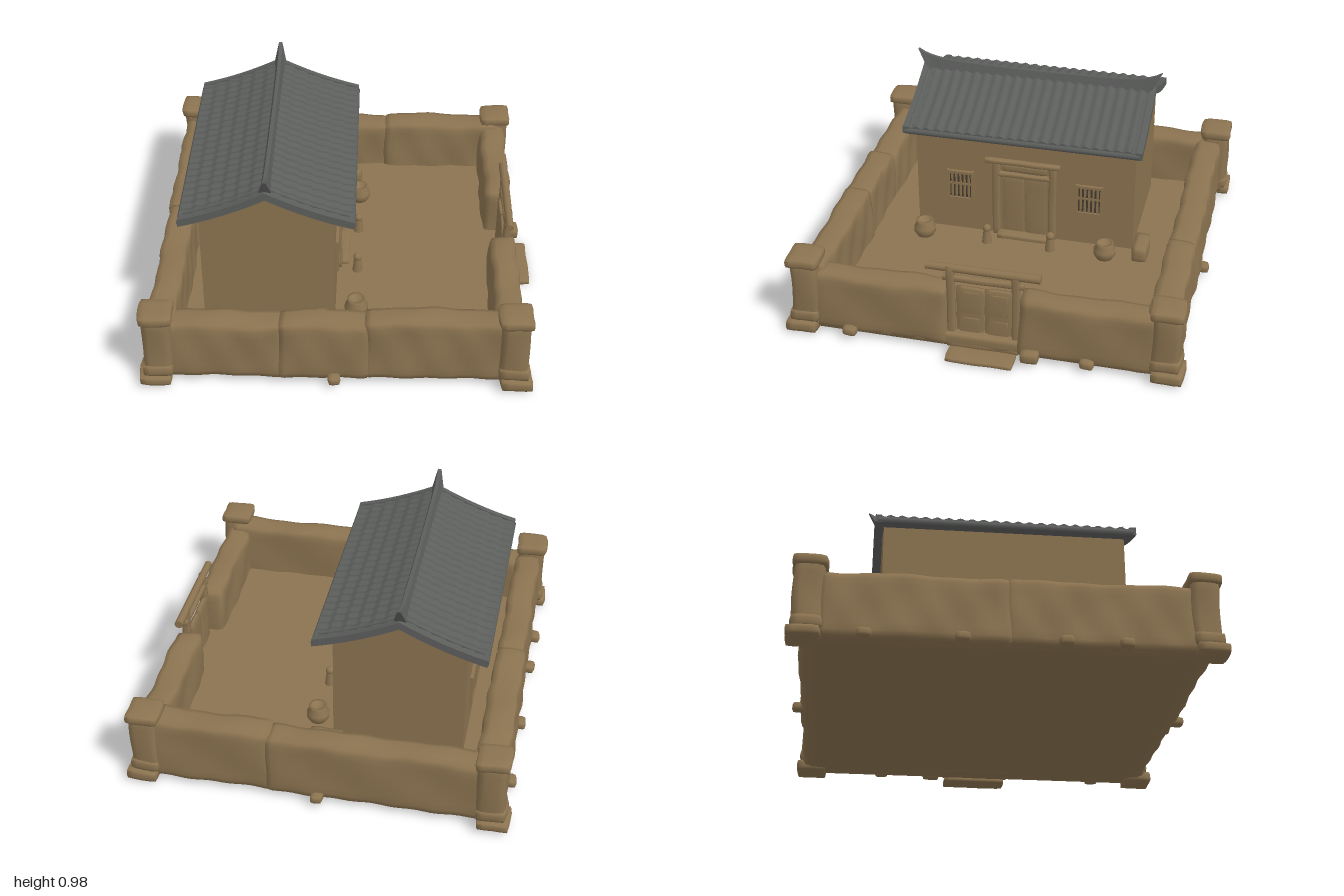
import * as THREE from 'three';
import { mergeVertices } from 'three/addons/utils/BufferGeometryUtils.js';

const mat = (name, color) => {
  const m = new THREE.MeshStandardMaterial({ color });
  m.name = name;
  return m;
};

export function createModel() {
  const model = new THREE.Group();
  const earth = mat('packed earth', 0x8b7350);
  const tile = mat('grey roof tile', 0x5c5e5c);
  const dark = mat('window shadow', 0x453c30);

  const add = (name, geo, material, parent = model) => {
    const mesh = new THREE.Mesh(geo, material);
    mesh.name = name;
    parent.add(mesh);
    return mesh;
  };
  const smooth = (geo) => {
    geo.deleteAttribute('uv');
    geo.deleteAttribute('normal');
    const g = mergeVertices(geo, 1e-5);
    g.computeVertexNormals();
    return g;
  };
  const warp = (geo, fn) => {
    const p = geo.attributes.position, v = new THREE.Vector3();
    for (let i = 0; i < p.count; i++) {
      fn(v.fromBufferAttribute(p, i));
      p.setXYZ(i, v.x, v.y, v.z);
    }
    return geo;
  };
  // Gentle hand-modelled unevenness, depending only on position
  const wobble = (v, a) => {
    const { x, y, z } = v;
    v.x += a * Math.sin(9 * z + 17 * y + 2) * Math.cos(23 * z + 5);
    v.y += a * 0.7 * Math.sin(13 * x + 11 * z) * Math.sin(y * 5);
    v.z += a * Math.sin(10 * x + 15 * y + 1) * Math.cos(21 * x + 3);
  };

  // Softly rounded clay block given by its limits
  const block = (name, x0, x1, y0, y1, z0, z1, { r = 0.015, a = 0.005, taper = 0, material = earth, parent = model } = {}) => {
    const s = [x1 - x0, y1 - y0, z1 - z0];
    r = Math.min(r, Math.min(...s) * 0.45);
    const n = s.map((l) => Math.max(3, Math.min(36, Math.round(l / 0.035))));
    const geo = new THREE.BoxGeometry(...s, ...n);
    const lim = s.map((l) => l / 2 - r);
    const q = new THREE.Vector3();
    warp(geo, (v) => {
      q.set(...['x', 'y', 'z'].map((k, i) => THREE.MathUtils.clamp(v[k], -lim[i], lim[i])));
      v.sub(q).normalize().multiplyScalar(r).add(q);
      const t = taper * (0.5 - v.y / s[1]);
      v.x += Math.sign(v.x) * t;
      v.z += Math.sign(v.z) * t;
      v.add(q.set((x0 + x1) / 2, (y0 + y1) / 2, (z0 + z1) / 2));
      wobble(v, a);
    });
    return add(name, smooth(geo), material, parent);
  };

  // Courtyard floor
  block('courtyardFloor', -0.9, 0.87, 0.025, 0.1, -0.91, 0.91, { a: 0, r: 0.01 });

  // Compound walls, each in uneven lengths
  const walls = new THREE.Group();
  walls.name = 'compoundWalls';
  model.add(walls);
  const wall = (x0, x1, h, z0, z1) =>
    block('wall', x0, x1, 0.03, h, z0, z1, { r: 0.025, a: 0.007, taper: 0.008, parent: walls });
  wall(-0.86, -0.28, 0.35, 0.79, 0.93);
  wall(-0.3, 0.13, 0.362, 0.795, 0.935);
  wall(0.11, 0.84, 0.378, 0.79, 0.925);
  wall(-0.86, 0.22, 0.36, -0.94, -0.8);
  wall(0.2, 0.84, 0.37, -0.935, -0.79);
  wall(-0.93, -0.78, 0.36, -0.86, 0.0);
  wall(-0.925, -0.79, 0.365, -0.02, 0.86);
  wall(0.74, 0.87, 0.345, 0.18, 0.86);
  wall(0.74, 0.875, 0.345, -0.86, -0.18);

  // Corner pillars with a cap and a footing
  const pillars = [
    [-0.87, -0.91, 0.43], [-0.875, 0.9, 0.43], [0.825, -0.885, 0.41], [0.825, 0.89, 0.43],
  ];
  for (const [x, z, h] of pillars) {
    const g = new THREE.Group();
    g.name = 'cornerPillar';
    model.add(g);
    const sx = Math.sign(x), sz = Math.sign(z);
    const box = (name, w, y0, y1, o, r) => block(name, x - w + sx * o, x + w + sx * o, y0, y1, z - w + sz * o, z + w + sz * o, { r, parent: g });
    box('shaft', 0.07, 0.03, h - 0.02, 0, 0.03);
    box('cap', 0.082, h - 0.055, h, 0, 0.02);
    box('footing', 0.078, x > 0 ? 0.01 : 0.02, 0.07, 0.018, 0.015);
    box('plinth', 0.074, 0.06, 0.13, 0.004, 0.02);
  }

  // Small footing stones along the outer walls
  const stones = [
    [-0.94, -0.66], [-0.945, -0.22], [-0.945, 0.245], [-0.945, 0.52],
    [0.885, -0.52], [0.885, 0.66], [-0.035, -0.95], [-0.035, 0.95],
  ];
  for (const [x, z] of stones) block('footingStone', x - 0.03, x + 0.03, 0.025, 0.07, z - 0.035, z + 0.035);

  // House body with gable ends under the roof
  const RX = -0.365;
  const roofY = (u) => 0.875 - 0.52 * u + 0.32 * u * u;
  const gable = new THREE.Shape();
  gable.moveTo(-0.325, 0.08);
  gable.lineTo(0.325, 0.08);
  for (let i = 0; i <= 8; i++) {
    const u = 0.325 - (0.65 * i) / 8;
    gable.lineTo(u, roofY(Math.abs(u)) - 0.015);
  }
  const house = add('houseWalls', new THREE.ExtrudeGeometry(gable, { depth: 1.16, bevelEnabled: false }), earth);
  house.position.set(RX, 0, -0.58);

  // Roof slab bent to the slope, with ribs and stepped tile courses
  const slope = (name, w, t, d, z, lift, ribs, nz) => {
    const geo = new THREE.BoxGeometry(w, t, d, 72, 1, nz);
    warp(geo, (v) => {
      const u = Math.abs(v.x), top = v.y > 0;
      const rib = ribs && top ? 0.005 * Math.cos((v.z * Math.PI * 2) / 0.055) : 0;
      const course = ribs && top ? 0.009 * ((u / 0.07) % 1) : 0;
      v.y += roofY(u) + lift + rib + course;
      v.x += RX;
      v.z += z;
    });
    geo.computeVertexNormals();
    return add(name, geo, tile);
  };
  slope('tiledRoof', 0.83, 0.028, 1.22, 0, 0, true, 132);
  for (const s of [-1, 1]) {
    slope('roofVerge', 0.84, 0.04, 0.03, s * 0.607, 0.006, false, 2);
    slope('innerVerge', 0.8, 0.028, 0.022, s * 0.56, 0.008, false, 2);
    // Rolled tile ends along the eaves
    const eave = add('eaveRoll', new THREE.CylinderGeometry(0.018, 0.018, 1.22, 10), tile);
    eave.rotation.x = Math.PI / 2;
    eave.position.set(RX + s * 0.408, roofY(0.41) - 0.003, 0);
  }

  // Ridge sweeping up to thin horns at both ends
  const ridge = new THREE.BoxGeometry(1, 1, 1.3, 1, 3, 40);
  warp(ridge, (v) => {
    const k = Math.abs(v.z) / 0.65, h = v.y + 0.5;
    const top = 0.92 + 0.017 * k * k + 0.043 * Math.pow(k, 10);
    v.z *= 1 - 0.07 * (1 - h) * k ** 4;
    v.x = RX + v.x * (0.06 - 0.042 * h);
    v.y = THREE.MathUtils.lerp(0.85 + 0.045 * Math.pow(k, 12), top, h);
  });
  ridge.computeVertexNormals();
  add('roofRidge', ridge, tile);

  // Lattice windows, two on each long side
  const window_ = (x, s, z) => {
    const g = new THREE.Group();
    g.name = 'window';
    model.add(g);
    const part = (name, w, h, d, y, dz, off, m) =>
      add(name, new THREE.BoxGeometry(w, h, d), m, g).position.set(x + s * off, y, z + dz);
    part('windowPane', 0.006, 0.15, 0.12, 0.37, 0, 0.002, dark);
    for (const e of [-1, 1]) {
      part('windowJamb', 0.02, 0.18, 0.014, 0.37, e * 0.065, 0.006, earth);
      part('windowRail', 0.02, 0.014, 0.14, 0.37 + e * 0.08, 0, 0.006, earth);
    }
    for (let i = -2; i <= 2; i++) part('windowBar', 0.014, 0.15, 0.011, 0.37, i * 0.022, 0.005, earth);
    part('windowCrossbar', 0.014, 0.01, 0.12, 0.38, 0, 0.005, earth);
  };
  for (const z of [-0.345, 0.345]) {
    window_(-0.04, 1, z);
    window_(-0.69, -1, z);
  }

  // House doorway with leaves, posts and double lintel
  const opt = { r: 0.008, a: 0.002 };
  for (const s of [-1, 1]) {
    block('houseDoorLeaf', -0.05, -0.03, 0.1, 0.46, s * 0.06 - 0.056, s * 0.06 + 0.056, opt);
    block('houseDoorPost', -0.05, -0.015, 0.1, 0.56, s * 0.15 - 0.02, s * 0.15 + 0.02, opt);
  }
  block('houseDoorLintel', -0.05, -0.015, 0.46, 0.485, -0.17, 0.17, opt);
  block('houseDoorBoard', -0.05, -0.022, 0.49, 0.535, -0.12, 0.12, opt);
  block('houseDoorHood', -0.05, -0.012, 0.535, 0.56, -0.19, 0.21, opt);
  block('houseDoorStep', -0.05, 0.02, 0.09, 0.125, -0.14, 0.14, opt);

  // Gate in the right-hand wall
  for (const s of [-1, 1]) {
    block('gatePost', 0.81, 0.85, 0.03, 0.475, s * 0.16 - 0.02, s * 0.16 + 0.02, opt);
    block('gateLeaf', 0.8, 0.83, 0.04, 0.35, s * 0.07 - 0.068, s * 0.07 + 0.068, opt);
    for (const y of [0.12, 0.27])
      block('gatePanel', 0.825, 0.837, y - 0.06, y + 0.06, s * 0.07 - 0.05, s * 0.07 + 0.05, { r: 0.004, a: 0 });
  }
  block('gateRail', 0.81, 0.845, 0.39, 0.42, -0.2, 0.2, opt);
  const beam = add('gateBeam', new THREE.CylinderGeometry(0.019, 0.022, 0.56, 12), earth);
  beam.rotation.x = Math.PI / 2;
  beam.position.set(0.83, 0.46, 0);
  block('gateSill', 0.74, 0.87, 0.02, 0.06, -0.18, 0.18, opt);
  block('gateStep', 0.85, 0.97, 0, 0.028, -0.17, 0.165, { r: 0.012, a: 0.003 });
  block('gateStone', 0.87, 0.93, 0.025, 0.085, -0.29, -0.2);

  // Jars, stone posts and a trough in the yard
  const jarProfile = [[0, 0], [0.04, 0], [0.058, 0.03], [0.058, 0.055], [0.042, 0.085], [0.046, 0.095], [0.034, 0.095], [0.03, 0.08], [0, 0.075]]
    .map(([x, y]) => new THREE.Vector2(x, y));
  for (const z of [-0.45, 0.52])
    add('jar', new THREE.LatheGeometry(jarProfile, 20), earth).position.set(0.065, 0.095, z);
  for (const z of [-0.16, 0.18]) {
    add('stonePost', new THREE.CylinderGeometry(0.018, 0.028, 0.08, 10), earth).position.set(0.065, 0.135, z);
    add('stonePostHead', new THREE.SphereGeometry(0.022, 12, 8), earth).position.set(0.065, 0.185, z);
  }
  block('trough', -0.1, 0.07, 0.09, 0.18, -0.67, -0.59);

  return model;
}
